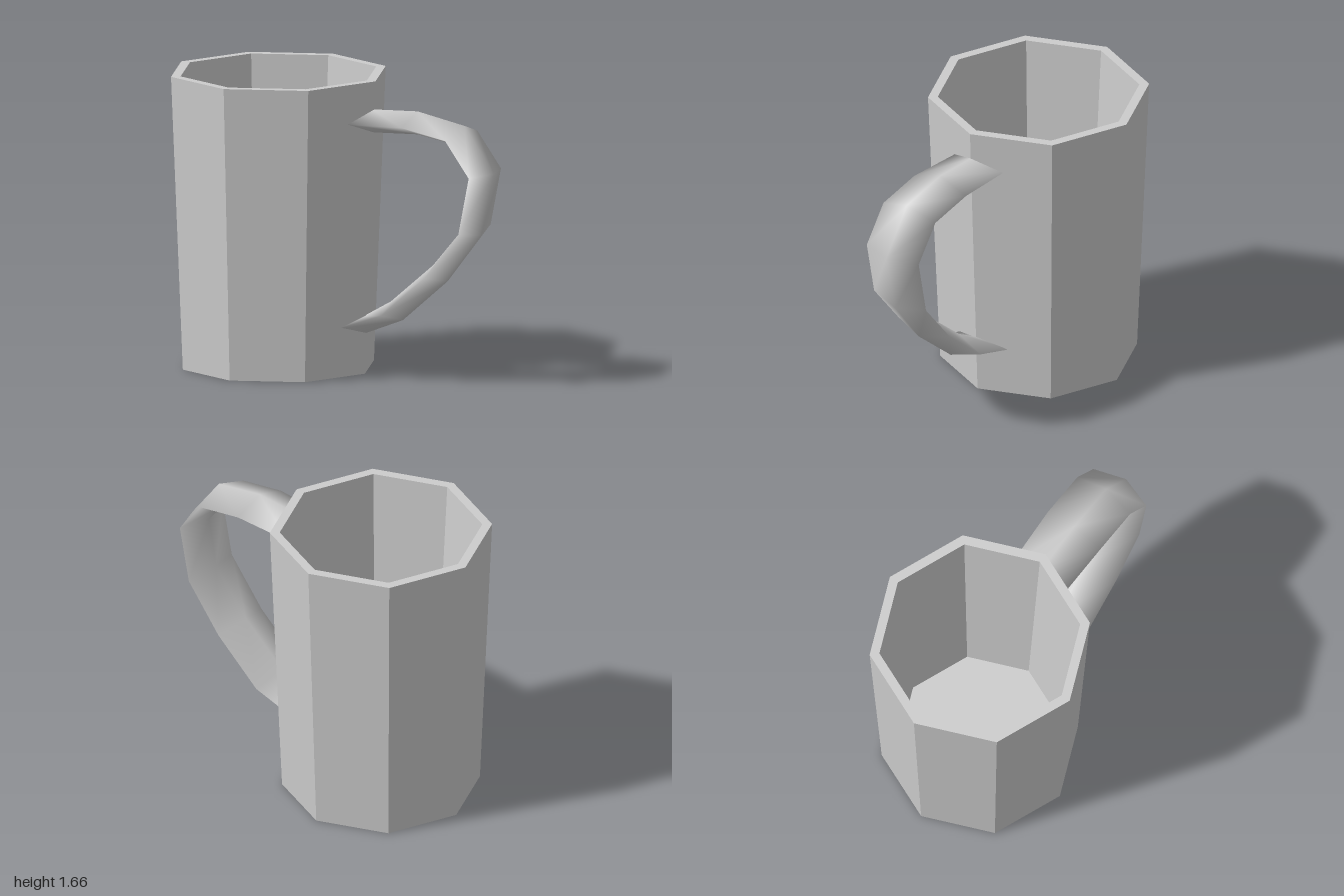
import * as THREE from 'three';

const CUP_X = -0.38;

// Eight-sided cup: outer wall, rim, inner wall and floor
function makeCup() {
  const profile = [
    [0, 0], [0.552, 0], [0.62, 1.66], [0.565, 1.66], [0.46, 0.12], [0, 0.12],
  ].map(([r, y]) => new THREE.Vector2(r, y));
  const cup = new THREE.Mesh(
    new THREE.LatheGeometry(profile, 8),
    new THREE.MeshStandardMaterial({ color: 0xcccccc, flatShading: true })
  );
  cup.name = 'cup';
  cup.position.x = CUP_X;
  return cup;
}

// Handle: diamond cross-sections swept from the upper joint to the lower one
function makeHandle() {
  // outer ridge x, y, inner ridge x, y, half width, inward shift of side edges
  const sections = [
    [0.215, 1.50, 0.215, 1.37, 0.17, 0.065],
    [0.51, 1.515, 0.51, 1.385, 0.183, 0],
    [0.81, 1.46, 0.765, 1.345, 0.183, 0],
    [0.997, 1.205, 0.88, 1.20, 0.183, 0],
    [0.915, 0.85, 0.83, 0.91, 0.183, 0],
    [0.70, 0.57, 0.61, 0.655, 0.183, 0],
    [0.415, 0.325, 0.34, 0.425, 0.183, 0],
    [0.165, 0.225, 0.165, 0.325, 0.165, 0.065],
  ];
  const positions = [];
  const indices = [];
  sections.forEach(([ox, oy, ix, iy, w, shift], s) => {
    const mx = (ox + ix) / 2 - shift;
    const my = (oy + iy) / 2;
    positions.push(ox, oy, 0, mx, my, w, ix, iy, 0, mx, my, -w);
    if (s === sections.length - 1) return;
    for (let i = 0; i < 4; i++) {
      const a = s * 4 + i;
      const b = s * 4 + ((i + 1) % 4);
      indices.push(a, b, b + 4, a, b + 4, a + 4);
    }
  });
  const geometry = new THREE.BufferGeometry();
  geometry.setAttribute('position', new THREE.Float32BufferAttribute(positions, 3));
  geometry.setIndex(indices);
  geometry.computeVertexNormals();
  const handle = new THREE.Mesh(
    geometry,
    new THREE.MeshStandardMaterial({ color: 0xcccccc })
  );
  handle.name = 'handle';
  return handle;
}

export function createModel() {
  const mug = new THREE.Group();
  mug.name = 'mug';
  mug.add(makeCup(), makeHandle());
  return mug;
}
